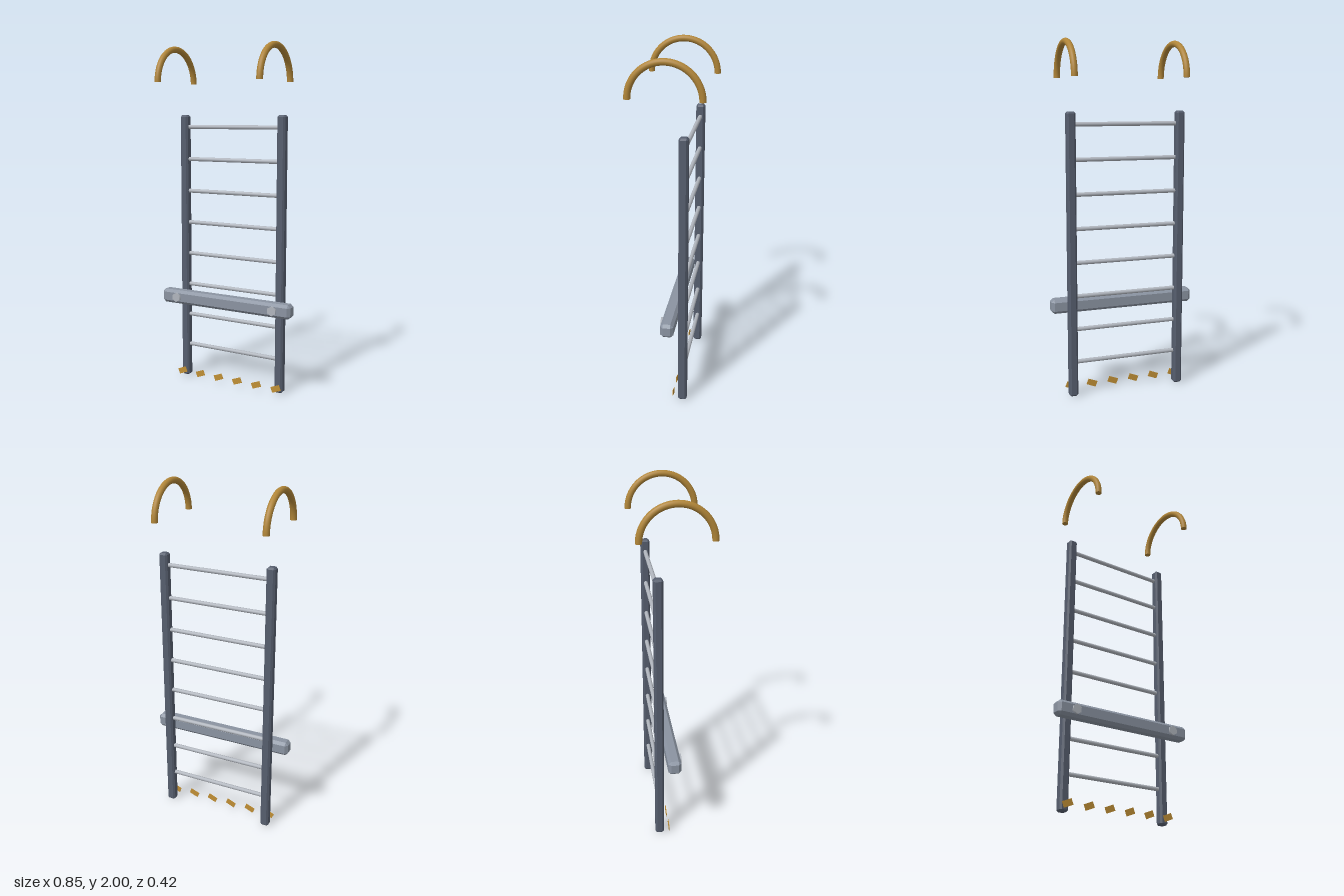
import * as THREE from 'three';
import { ConvexGeometry } from 'three/addons/geometries/ConvexGeometry.js';

const paint = (color) => new THREE.MeshStandardMaterial({ color });

// Box with every edge cut at 45 degrees
function chamferBox(w, h, d, c) {
  const points = [];
  for (const sx of [-1, 1]) for (const sy of [-1, 1]) for (const sz of [-1, 1]) {
    for (let k = 0; k < 3; k++) {
      const inset = [c, c, c];
      inset[k] = 0;
      points.push(new THREE.Vector3(
        sx * (w / 2 - inset[0]), sy * (h / 2 - inset[1]), sz * (d / 2 - inset[2])));
    }
  }
  return new ConvexGeometry(points);
}

export function createModel() {
  const group = new THREE.Group();
  const add = (name, geometry, material, x, y, z) => {
    const mesh = new THREE.Mesh(geometry, material);
    mesh.name = name;
    mesh.position.set(x, y, z);
    group.add(mesh);
    return mesh;
  };

  const dark = paint(0x565e6e);
  const steel = paint(0x8a93a1);
  const light = paint(0xb0b5bd);
  const brass = paint(0xb08538);
  const amber = paint(0xc08f35);

  const railX = 0.318, railZ = -0.097;
  const hookY = 1.793, hookR = 0.19, tubeR = 0.018;

  const railGeo = chamferBox(0.05, 1.605, 0.05, 0.01);
  const hookGeo = new THREE.TorusGeometry(hookR, tubeR, 16, 40, Math.PI).rotateY(Math.PI / 2);
  const capGeo = new THREE.CircleGeometry(tubeR, 16).rotateX(Math.PI / 2);
  const boltGeo = new THREE.CylinderGeometry(0.028, 0.028, 0.02, 6).rotateX(Math.PI / 2);

  for (const [side, s] of [['left', 1], ['right', -1]]) {
    add(side + 'Rail', railGeo, dark, s * railX, 0.8075, railZ);
    add(side + 'Bolt', boltGeo, light, s * railX, 0.52, 0.017);
    // Half-ring grab hook with closed ends
    add(side + 'Hook', hookGeo, brass, s * railX, hookY, 0);
    for (const e of [-1, 1]) add(side + 'HookEnd', capGeo, brass, s * railX, hookY, e * hookR);
  }

  // Rungs
  const rungGeo = new THREE.CylinderGeometry(0.012, 0.012, 0.6, 12).rotateZ(Math.PI / 2);
  for (let i = 0; i < 8; i++) add('rung', rungGeo, light, 0, 0.204 + i * 0.191, railZ);

  // Cross bar in front of the rails
  add('crossBar', chamferBox(0.848, 0.082, 0.074, 0.016), steel, 0, 0.52, -0.02);

  // Slanted warning stripes along the foot
  const stripeGeo = new THREE.BoxGeometry(0.058, 0.034, 0.003);
  for (let i = 0; i < 6; i++) {
    add('stripe', stripeGeo, amber, -railX + i * railX * 0.4, 0.042, -0.043).rotation.z = 0.38;
  }
  return group;
}
